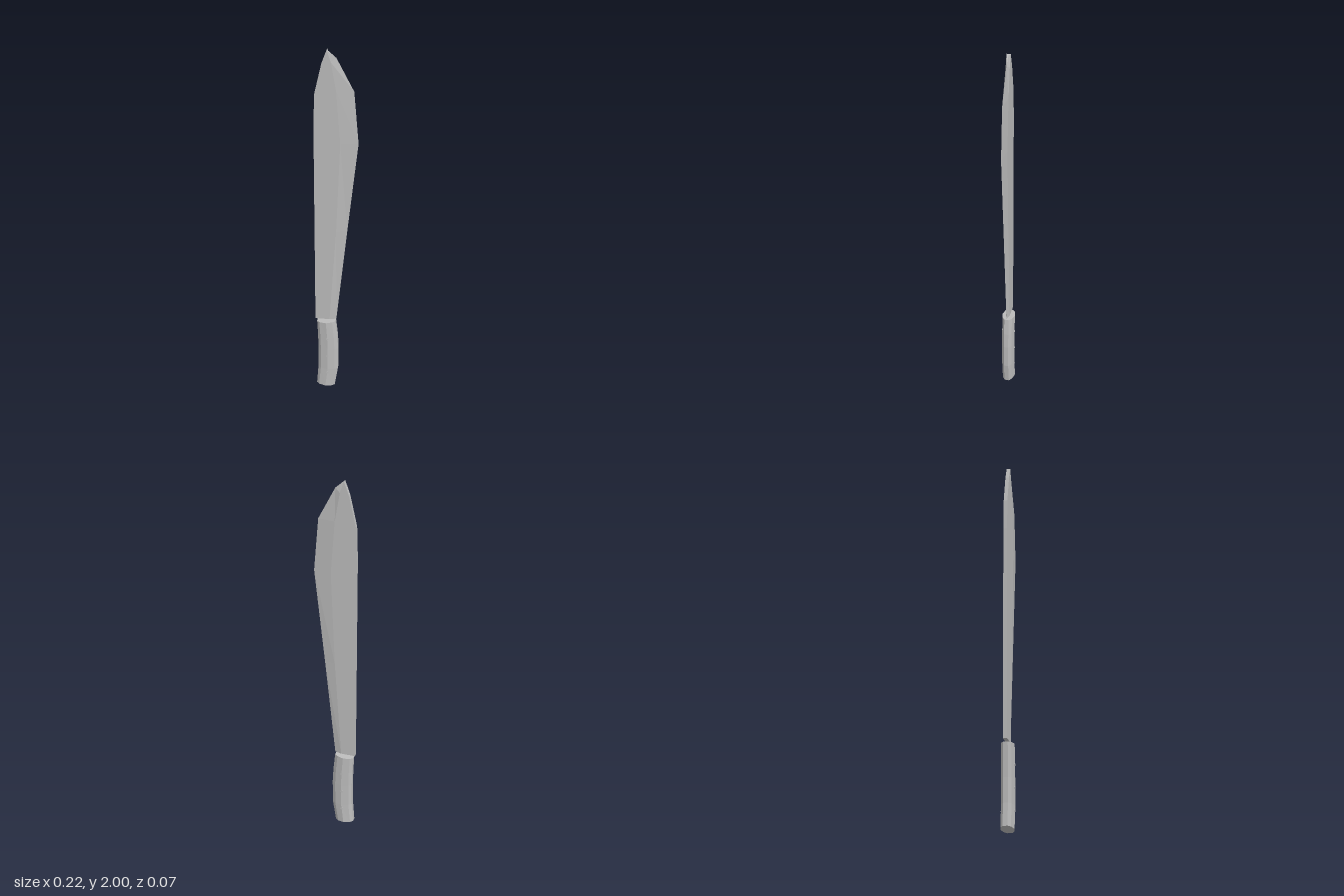
import * as THREE from 'three';

// Skin equal-length rings of [x, y, z] into a closed, capped, faceted solid
function loft(rings) {
  const pos = [];
  const n = rings[0].length;
  const tri = (a, b, c) => pos.push(...a, ...b, ...c);
  for (let r = 0; r < rings.length - 1; r++) {
    const lo = rings[r], hi = rings[r + 1];
    for (let i = 0; i < n; i++) {
      const j = (i + 1) % n;
      tri(lo[i], hi[i], hi[j]);
      tri(lo[i], hi[j], lo[j]);
    }
  }
  const first = rings[0], last = rings[rings.length - 1];
  for (let i = 1; i < n - 1; i++) {
    tri(first[0], first[i], first[i + 1]);
    tri(last[0], last[i + 1], last[i]);
  }
  const geo = new THREE.BufferGeometry();
  geo.setAttribute('position', new THREE.Float32BufferAttribute(pos, 3));
  geo.computeVertexNormals();
  return geo;
}

export function createModel() {
  const model = new THREE.Group();
  model.name = 'machete';
  const steel = new THREE.MeshStandardMaterial({ name: 'grey steel', color: 0xbcbcbc });
  const add = (name, geo, parent = model) => {
    const mesh = new THREE.Mesh(geo, steel);
    mesh.name = name;
    parent.add(mesh);
    return mesh;
  };

  // Blade: thick flat spine, ridge where the grind begins, sharp edge
  const spine = [[-0.11, 0.445], [-0.11, 1.0], [-0.11, 1.6], [-0.105, 1.77], [-0.07, 1.93], [-0.045, 2.0]];
  const ridge = [[-0.035, 0.445], [0.0, 1.0], [0.02, 1.51], [0.0, 1.79], [-0.025, 1.94], [-0.043, 1.998]];
  const edge = [[0.0, 0.445], [0.055, 1.0], [0.108, 1.51], [0.085, 1.79], [0.0, 1.96], [-0.041, 1.996]];
  const t = 0.01;
  add('blade', loft(spine.map((s, i) => [
    [...s, -t], [...ridge[i], -t], [...edge[i], 0], [...ridge[i], t], [...s, t],
  ])));

  // Handle: ten-sided grip bowed towards the cutting edge, ends slightly tilted
  const half = [[-0.5, 0.35], [-0.36, 0.75], [0, 1], [0.33, 0.75], [0.5, 0.35]];
  const section = [...half.map(([x, z]) => [x, -z]), ...[...half].reverse()];
  // Each row: y, centre x, width, tilt
  const rows = [
    [0.008, -0.056, 0.097, -0.07],
    [0.125, -0.043, 0.106, -0.03],
    [0.255, -0.042, 0.106, 0.03],
    [0.34, -0.045, 0.103, 0.05],
    [0.434, -0.052, 0.098, 0.07],
  ];
  add('handle', loft(rows.map(([y, cx, w, tilt]) =>
    section.map(([x, z]) => [cx + x * w, y + x * w * tilt, z * 0.034]))));

  // Rivets through both faces of the handle
  const rivets = new THREE.Group();
  rivets.name = 'rivets';
  model.add(rivets);
  for (const y of [0.1, 0.215, 0.33]) {
    const pin = add('rivet', new THREE.CylinderGeometry(0.007, 0.007, 0.069, 8), rivets);
    pin.rotation.x = Math.PI / 2;
    pin.position.set(-0.045, y, 0);
  }
  return model;
}
